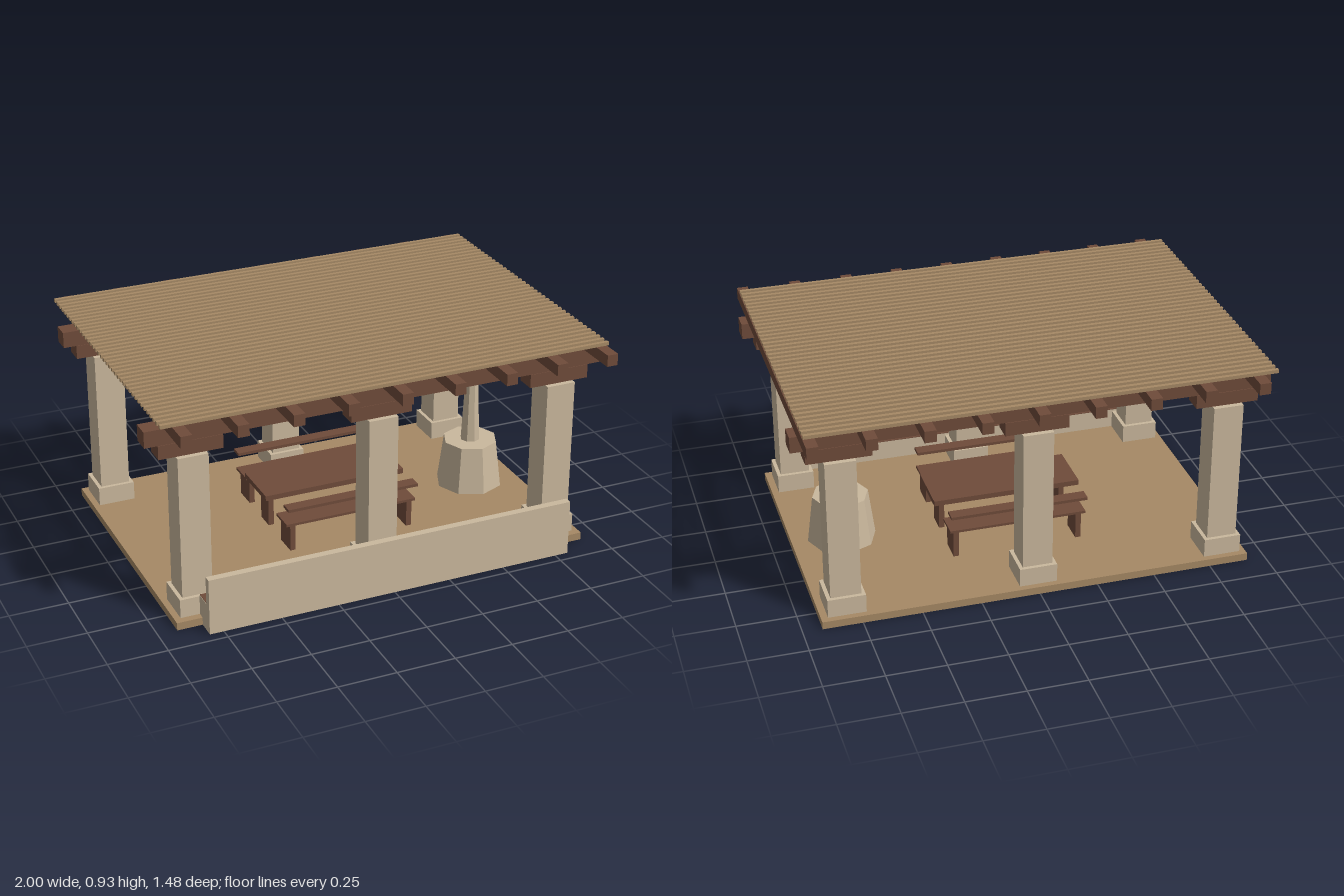
import * as THREE from 'three';

export function createModel() {
  const model = new THREE.Group();
  const mat = (name, color) => {
    const m = new THREE.MeshStandardMaterial({ color, side: THREE.DoubleSide });
    m.name = name;
    return m;
  };
  const stone = mat('stone', 0xcab89d);
  const timber = mat('darkTimber', 0x6f4b3a);
  const plank = mat('lightWood', 0xa68965);

  // Box given by its minimum and maximum on each axis
  function box(name, material, [x0, x1], [y0, y1], [z0, z1], parent = model) {
    const mesh = new THREE.Mesh(new THREE.BoxGeometry(x1 - x0, y1 - y0, z1 - z0), material);
    mesh.position.set((x0 + x1) / 2, (y0 + y1) / 2, (z0 + z1) / 2);
    mesh.name = name;
    parent.add(mesh);
    return mesh;
  }
  // The same without its bottom face (the fourth side of the box)
  function openBox(...args) {
    const mesh = box(...args);
    const index = Array.from(mesh.geometry.index.array);
    index.splice(18, 6);
    mesh.geometry.setIndex(index);
    mesh.geometry.clearGroups();
  }
  const around = (c, half) => [c - half, c + half];
  const group = (name) => {
    const g = new THREE.Group();
    g.name = name;
    model.add(g);
    return g;
  };
  const ground = 0.034;

  // Floor slab, hollow underneath
  openBox('floor', plank, [-0.918, 0.918], [0, 0.033], [-0.62, 0.625]);

  // Columns with plinths and bolsters, and the long beams on them
  const columns = group('columns');
  for (const z of [-0.515, 0.515]) {
    for (const x of [-0.812, 0, 0.809]) {
      box('columnPlinth', stone, around(x, 0.08), [ground, 0.115], around(z, 0.08), columns);
      box('column', stone, around(x, 0.064), [0.115, 0.732], around(z, 0.064), columns);
      box('bolster', timber, around(x, 0.134), [0.732, 0.791], around(z, 0.042), columns);
    }
    box('beam', timber, [-1, 1], [0.791, 0.86], around(z, 0.039));
  }

  // Rafters and roof slats
  const roof = group('roof');
  for (let i = 0; i < 9; i++) {
    box('rafter', timber, around(-0.894 + i * 0.23, 0.024), [0.86, 0.91], [-0.742, 0.742], roof);
  }
  for (let i = 0; i < 39; i++) {
    box('slat', plank, [-0.972, 0.97], [0.918, 0.933], around(-0.678 + i * 0.0352, 0.008), roof);
  }

  // Front wall with a built-in seat on its inner side, hollow underneath
  const wall = group('frontWall');
  openBox('wall', stone, [-0.81, 0.808], [0, 0.245], [0.673, 0.705], wall);
  openBox('seatBase', stone, [-0.81, 0.808], [ground, 0.122], [0.597, 0.673], wall);
  box('seatTop', timber, [-0.808, 0.806], [0.122, 0.125], [0.597, 0.673], wall);
  for (const x of [-0.809, 0.807]) {
    box('seatEnd', stone, around(x, 0.001), [0, ground], [0.6255, 0.673], wall);
  }

  // Table
  const table = group('table');
  box('tableTop', timber, [-0.323, 0.322], [0.195, 0.218], [-0.135, 0.102], table);
  for (const x of [-0.27, 0.27]) {
    box('tableLeg', timber, around(x, 0.012), [ground, 0.195], [-0.055, 0.03], table);
  }

  // Benches with a narrow rail along the outer side
  const benches = group('benches');
  for (const [z, rail] of [[0.219, 0.272], [-0.243, -0.297]]) {
    box('benchSeat', timber, [-0.3, 0.297], [0.152, 0.163], around(z, 0.057), benches);
    box('benchRail', timber, [-0.3, 0.297], [0.231, 0.244], around(rail, 0.027), benches);
    for (const x of [-0.27, 0.27]) {
      box('benchLeg', timber, around(x, 0.012), [ground, 0.152], around(z, 0.052), benches);
    }
  }

  // Eight-sided hearth and its tapering chimney
  const hearth = group('hearth');
  const taper = (name, rTop, rBottom, y0, y1) => {
    const geo = new THREE.CylinderGeometry(rTop, rBottom, y1 - y0, 8).toNonIndexed();
    geo.computeVertexNormals();
    const mesh = new THREE.Mesh(geo, stone);
    mesh.position.set(0.7, (y0 + y1) / 2, 0);
    mesh.name = name;
    hearth.add(mesh);
  };
  taper('hearthBase', 0.121, 0.148, ground, 0.245);
  taper('chimney', 0.03, 0.043, 0.245, 0.515);

  return model;
}
